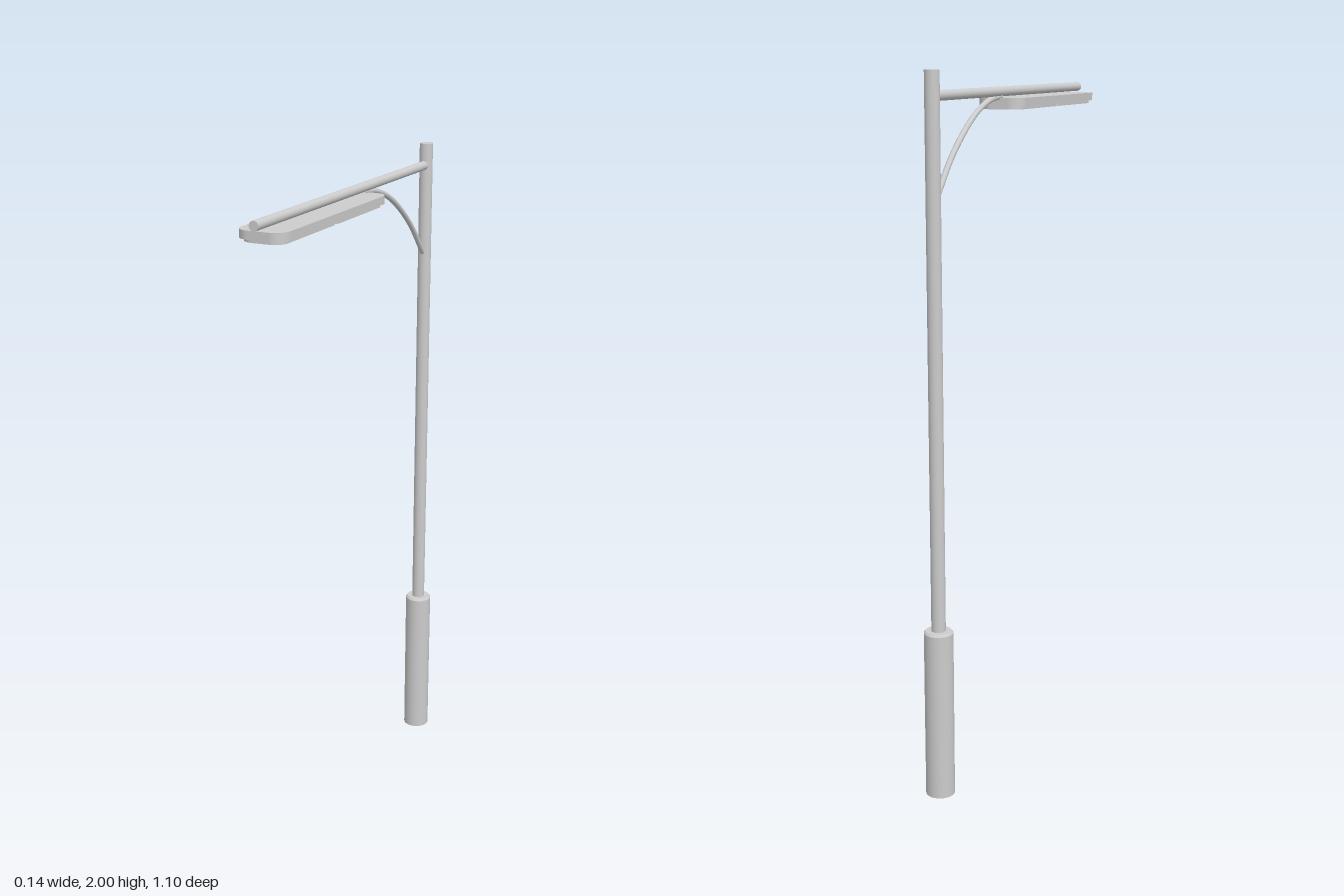
import * as THREE from 'three';

const material = new THREE.MeshStandardMaterial({ color: 0xcccccc });
const POLE_Z = -0.51;

function add(group, name, geometry, x = 0, y = 0, z = 0) {
  const mesh = new THREE.Mesh(geometry, material);
  mesh.name = name;
  mesh.position.set(x, y, z);
  group.add(mesh);
  return mesh;
}

// Flat slab with rounded plan corners; radii r0 at the z0 end and r1 at the z1 end
function slab(halfWidth, z0, z1, y0, y1, r0, r1) {
  const w = halfWidth, a = -z1, b = -z0;
  const s = new THREE.Shape();
  s.moveTo(-w + r1, a);
  s.lineTo(w - r1, a);
  s.absarc(w - r1, a + r1, r1, -Math.PI / 2, 0);
  s.absarc(w - r0, b - r0, r0, 0, Math.PI / 2);
  s.absarc(-w + r0, b - r0, r0, Math.PI / 2, Math.PI);
  s.absarc(-w + r1, a + r1, r1, Math.PI, Math.PI * 1.5);
  const g = new THREE.ExtrudeGeometry(s, { depth: y1 - y0, bevelEnabled: false, curveSegments: 8 });
  return g.rotateX(-Math.PI / 2).translate(0, y0, 0);
}

export function createModel() {
  const lamp = new THREE.Group();
  lamp.name = 'streetLamp';

  // Thick base sleeve with a small chamfer at the top
  const sleeve = [[0, 0], [0.041, 0], [0.041, 0], [0.041, 0.484], [0.041, 0.484], [0.036, 0.49], [0.036, 0.49], [0, 0.49]]
    .map(([r, y]) => new THREE.Vector2(r, y));
  add(lamp, 'baseSleeve', new THREE.LatheGeometry(sleeve, 32), 0, 0, POLE_Z);

  // Pole
  add(lamp, 'pole', new THREE.CylinderGeometry(0.02, 0.02, 1.52, 32), 0, 1.24, POLE_Z);

  // Horizontal arm from the pole to past the lamp head
  const arm = new THREE.CylinderGeometry(0.0135, 0.0135, 1.05, 24).rotateX(Math.PI / 2);
  add(lamp, 'arm', arm, 0, 1.935, 0.025);

  // Curved brace under the arm
  const path = new THREE.CatmullRomCurve3([
    [1.665, -0.5], [1.78, -0.39], [1.873, -0.255], [1.912, -0.15], [1.922, -0.07],
  ].map(([y, z]) => new THREE.Vector3(0, y, z)));
  add(lamp, 'brace', new THREE.TubeGeometry(path, 32, 0.008, 12));

  // Lamp head: housing with two light panels beneath
  const head = new THREE.Group();
  head.name = 'lampHead';
  lamp.add(head);
  add(head, 'housing', slab(0.07, -0.09, 0.53, 1.895, 1.918, 0.04, 0.04));
  add(head, 'rearLightPanel', slab(0.06, -0.08, 0.217, 1.886, 1.896, 0.035, 0.01));
  add(head, 'frontLightPanel', slab(0.06, 0.223, 0.52, 1.886, 1.896, 0.01, 0.035));

  return lamp;
}
